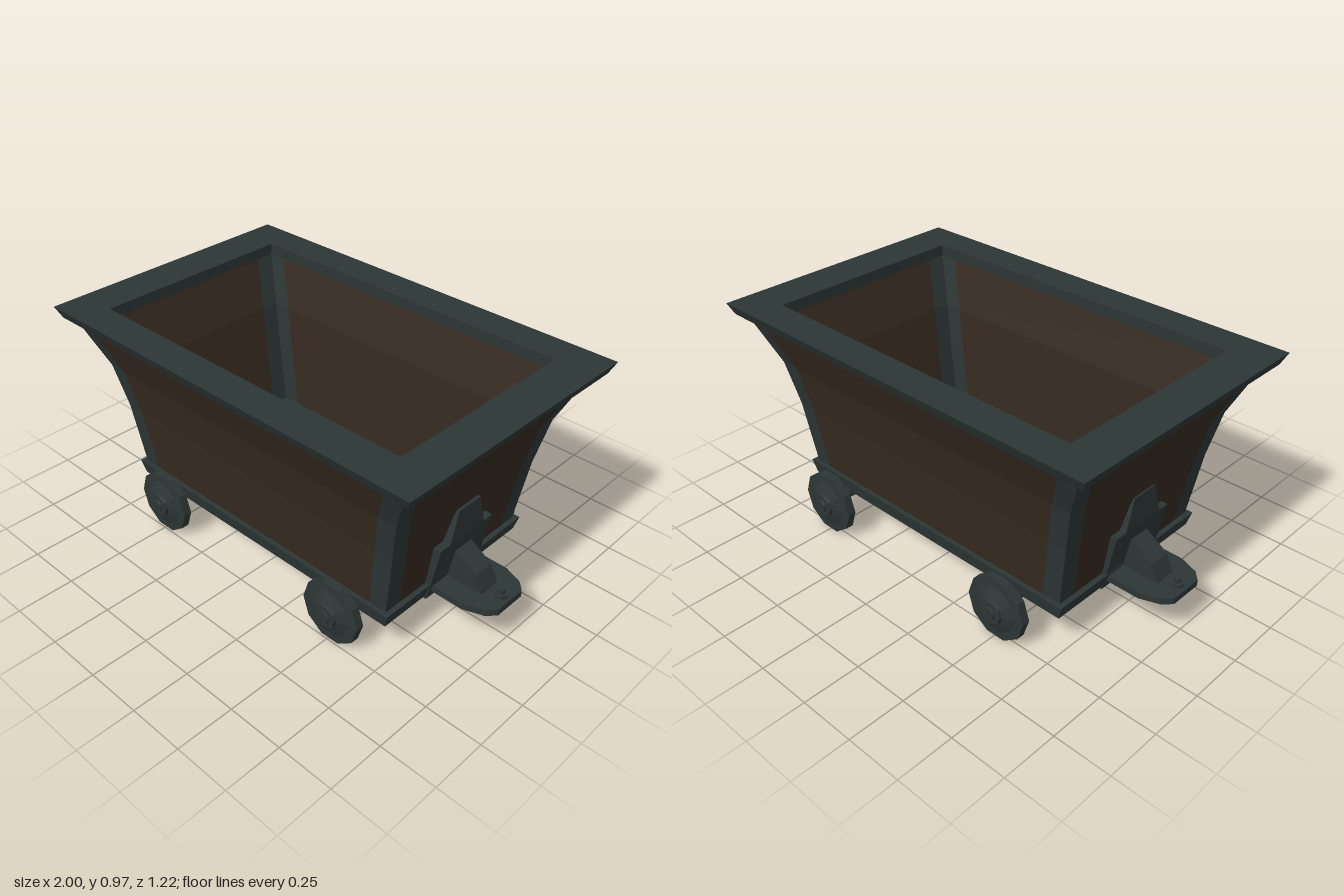
import * as THREE from 'three';

const steel = new THREE.MeshStandardMaterial({ color: 0x2c3635 });
steel.name = 'dark steel';
const rust = new THREE.MeshStandardMaterial({ color: 0x352a20 });
rust.name = 'rusty brown';

function add(parent, name, geometry, material) {
  const mesh = new THREE.Mesh(geometry, material);
  mesh.name = name;
  parent.add(mesh);
  return mesh;
}

function faceted(geometry) {
  const g = geometry.index ? geometry.toNonIndexed() : geometry;
  g.computeVertexNormals();
  return g;
}

function extrude(points, depth) {
  const shape = new THREE.Shape(points.map(([a, b]) => new THREE.Vector2(a, b)));
  return new THREE.ExtrudeGeometry(shape, { depth, bevelEnabled: false });
}

function fromTriangles(positions) {
  const g = new THREE.BufferGeometry();
  g.setAttribute('position', new THREE.Float32BufferAttribute(positions, 3));
  g.computeVertexNormals();
  return g;
}

// Rectangular rings [y, halfX, halfZ, panelled], from the underside over the rim to the floor.
// A panelled ring joins the next one with a brown panel between steel corner bands.
const BAND = 0.083;
const rings = [
  [0.147, 0.635, 0.325, false],
  [0.147, 0.72, 0.41, false],
  [0.21, 0.738, 0.422, false],
  [0.21, 0.715, 0.402, true],
  [0.5, 0.758, 0.432, true],
  [0.7, 0.8, 0.47, true],
  [0.9, 0.89, 0.549, false],
  [0.92, 0.94, 0.587, false],
  [0.97, 0.963, 0.61, false],
  [0.97, 0.78, 0.46, false],
  [0.92, 0.78, 0.46, false],
  [0.915, 0.81, 0.485, true],
  [0.7, 0.72, 0.425, true],
  [0.5, 0.68, 0.405, true],
  [0.23, 0.63, 0.39, false],
  [0.23, 0.55, 0.31, false],
];

// Point on one side of a ring; u runs along that side.
function sidePoint([y, hx, hz], side, u) {
  return [[u, y, hz], [hx, y, -u], [-u, y, -hz], [-hx, y, u]][side];
}

function buildTub(parent) {
  const frame = [];
  const panels = [];
  const quad = (out, a, b, c, d) => out.push(...a, ...b, ...c, ...a, ...c, ...d);
  for (let i = 0; i < rings.length - 1; i++) {
    const lo = rings[i], hi = rings[i + 1];
    for (let side = 0; side < 4; side++) {
      const wl = lo[side % 2 + 1], wh = hi[side % 2 + 1];
      const cuts = lo[3]
        ? [[-wl, -wh], [BAND - wl, BAND - wh], [wl - BAND, wh - BAND], [wl, wh]]
        : [[-wl, -wh], [wl, wh]];
      for (let k = 0; k < cuts.length - 1; k++) {
        quad(lo[3] && k === 1 ? panels : frame,
          sidePoint(lo, side, cuts[k][0]), sidePoint(lo, side, cuts[k + 1][0]),
          sidePoint(hi, side, cuts[k + 1][1]), sidePoint(hi, side, cuts[k][1]));
      }
    }
  }
  // Brown floor and underside
  const corners = ([y, x, z]) => [[-x, y, z], [x, y, z], [x, y, -z], [-x, y, -z]];
  quad(panels, ...corners(rings[rings.length - 1]));
  quad(panels, ...corners(rings[0]).reverse());
  add(parent, 'tubFrame', fromTriangles(frame), steel).position.x = -0.003;
  add(parent, 'tubPanels', fromTriangles(panels), rust).position.x = -0.003;
}

// Ten-sided wheel along z, stepped from hub to tread
function wheelGeometry() {
  const profile = [
    [0, -0.056], [0.05, -0.056], [0.055, -0.038], [0.105, -0.02],
    [0.142, -0.018], [0.142, 0.018], [0.105, 0.02],
    [0.055, 0.038], [0.052, 0.05], [0.028, 0.05], [0.026, 0.058], [0, 0.058],
  ].map(([r, h]) => new THREE.Vector2(r, h));
  const g = new THREE.LatheGeometry(profile, 10, Math.PI / 2);
  g.rotateX(Math.PI / 2);
  return faceted(g);
}

// Backing plate, gusset and coupling at the +x end
function buildCoupling() {
  const end = new THREE.Group();
  const lower = extrude([[0.63, 0.13], [0.72, 0.13], [0.738, 0.21], [0.775, 0.4], [0.72, 0.4], [0.69, 0.21], [0.63, 0.15]], 0.32);
  add(end, 'backingPlate', lower.translate(0, 0, -0.16), steel);

  const upper = extrude([[-0.105, 0.4], [0.105, 0.4], [0.065, 0.54], [-0.065, 0.54]], 0.045);
  add(end, 'backingPlateTop', upper.rotateY(Math.PI / 2).translate(0.731, 0, 0), steel);

  const gusset = extrude([[0.72, 0.18], [0.905, 0.18], [0.9, 0.2], [0.865, 0.27], [0.758, 0.335], [0.73, 0.335]], 0.1);
  add(end, 'gusset', gusset.translate(0, 0, -0.05), steel);

  const tongue = extrude([
    [0.7, -0.143], [0.88, -0.143], [0.965, -0.112], [1, -0.075],
    [1, 0.075], [0.965, 0.112], [0.88, 0.143], [0.7, 0.143],
  ], 0.028);
  add(end, 'couplingTongue', tongue.rotateX(-Math.PI / 2).translate(0, 0.168, 0), steel);

  // Bolt on the tongue
  const washer = add(end, 'boltBase', faceted(new THREE.CylinderGeometry(0.028, 0.028, 0.014, 8)), steel);
  washer.position.set(0.957, 0.202, 0);
  const bolt = add(end, 'boltHead', faceted(new THREE.CylinderGeometry(0.014, 0.014, 0.03, 6)), steel);
  bolt.position.set(0.957, 0.211, 0);
  return end;
}

export function createModel() {
  const model = new THREE.Group();
  model.name = 'mineCart';
  buildTub(model);

  // Axles and wheels
  const wheel = wheelGeometry();
  for (const x of [-0.502, 0.506]) {
    const axle = new THREE.CylinderGeometry(0.025, 0.025, 0.9, 8).rotateX(Math.PI / 2);
    add(model, 'axle', faceted(axle), steel).position.set(x, 0.135, -0.016);
    for (const s of [1, -1]) {
      const w = add(model, 'wheel', wheel, steel);
      w.position.set(x, 0.135, -0.016 + s * 0.489);
      w.rotation.y = s > 0 ? 0 : Math.PI;
    }
  }

  // One coupling at each end
  for (const turn of [0, Math.PI]) {
    const end = buildCoupling();
    end.name = turn ? 'rightCoupling' : 'leftCoupling';
    end.rotation.y = turn;
    end.position.z = 0.01;
    model.add(end);
  }
  return model;
}
